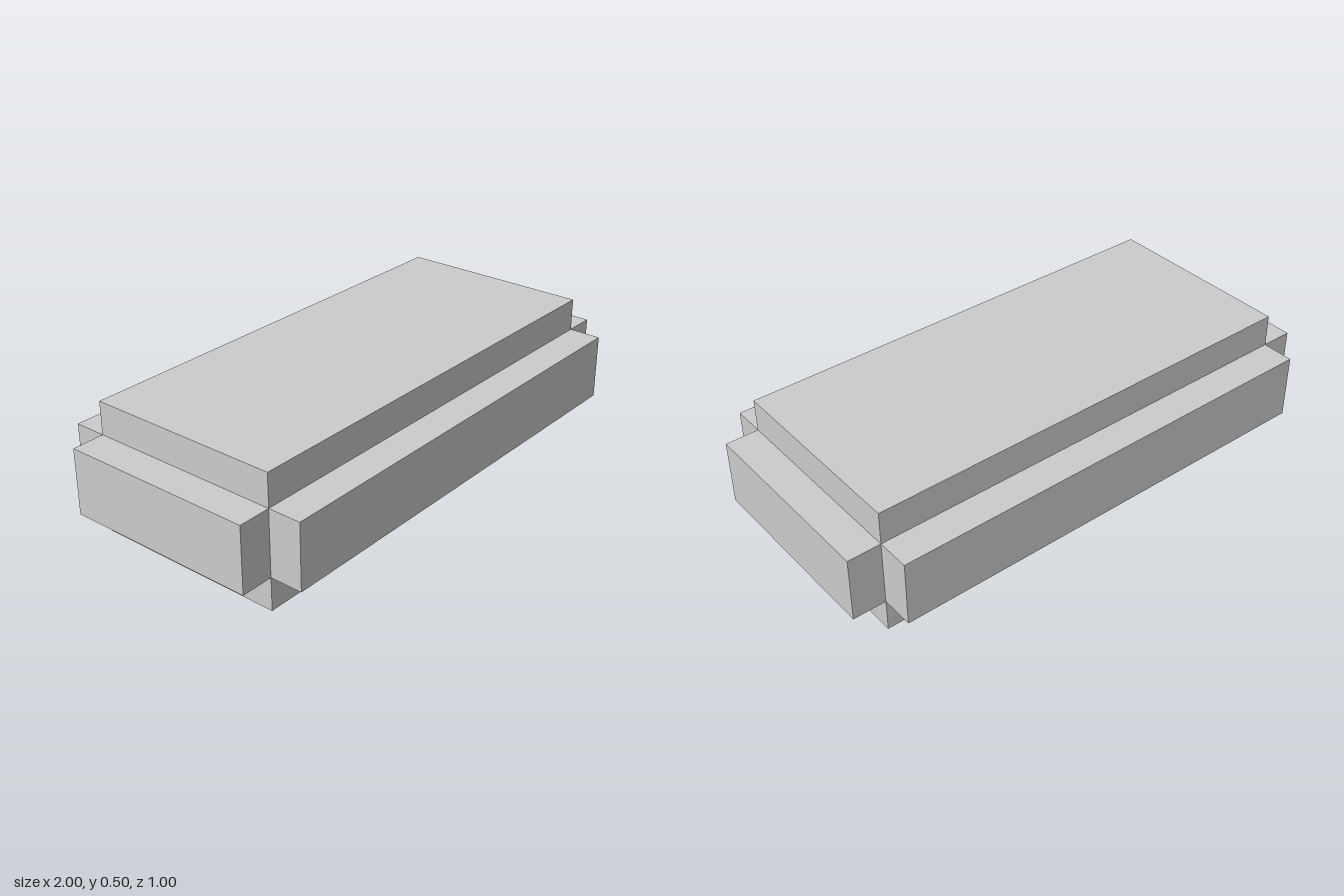
import * as THREE from 'three';

export function createModel() {
  const model = new THREE.Group();
  const material = new THREE.MeshStandardMaterial({ color: 0xcccccc, flatShading: true });

  const width = 1.75, height = 0.5, depth = 0.75; // core size
  const step = 0.125;                             // how far each slab stands out
  const slabHeight = height - 2 * step;

  const addBox = (name, size, x = 0, z = 0) => {
    const mesh = new THREE.Mesh(new THREE.BoxGeometry(...size), material);
    mesh.name = name;
    mesh.position.set(x, height / 2, z);
    model.add(mesh);
  };

  // Central block, full height
  addBox('core', [width, height, depth]);

  // Raised slab on each of the four sides
  for (const s of [1, -1]) {
    addBox(s > 0 ? 'leftSlab' : 'rightSlab', [step, slabHeight, depth], s * (width + step) / 2, 0);
    addBox(s > 0 ? 'frontSlab' : 'backSlab', [width, slabHeight, step], 0, s * (depth + step) / 2);
  }

  return model;
}
